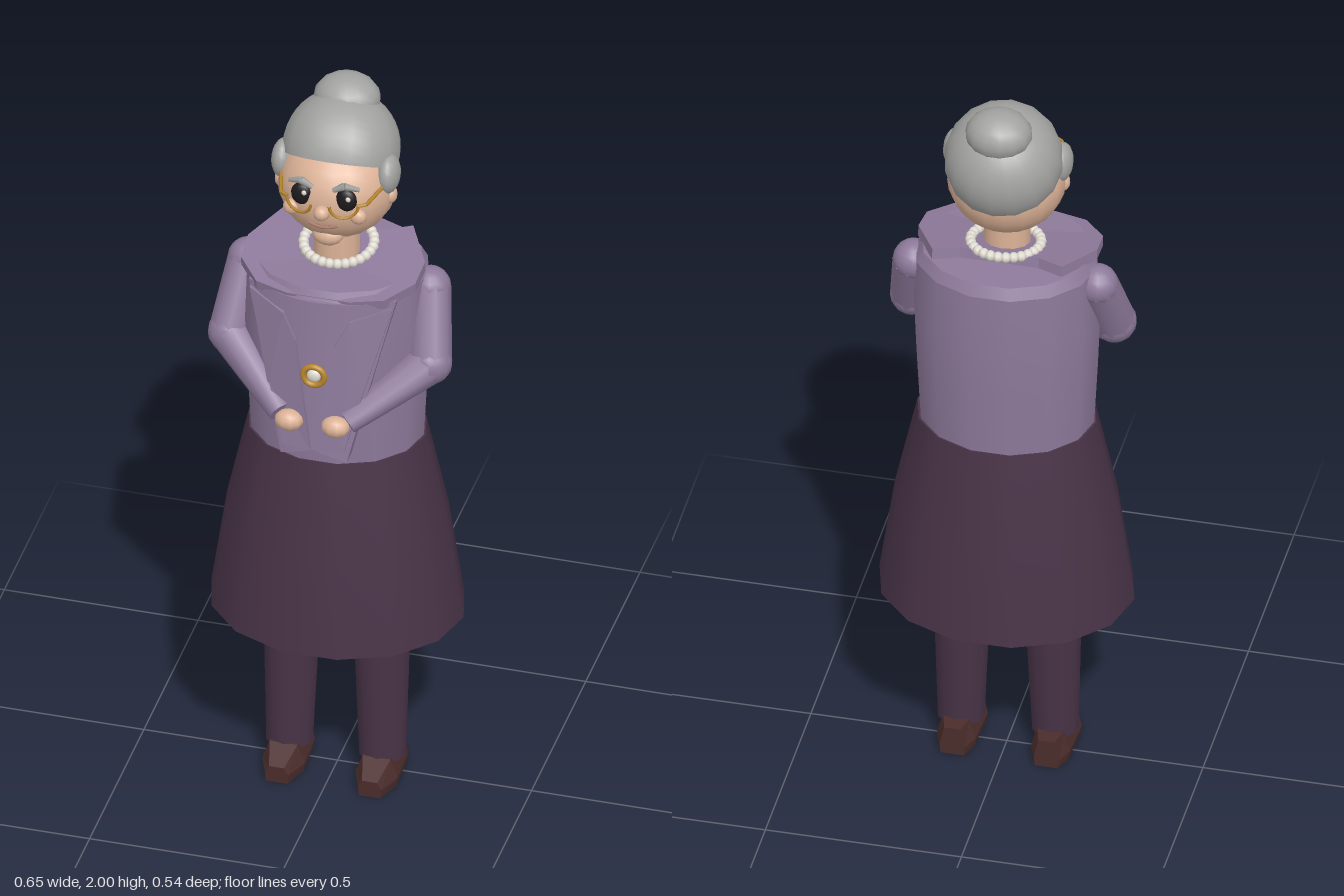
import * as THREE from 'three';

const mat = (name, color) => {
  const m = new THREE.MeshStandardMaterial({ color });
  m.name = name;
  return m;
};

export function createModel() {
  const root = new THREE.Group();
  root.name = 'elderlyWoman';
  const cardigan = mat('mauve', 0x8e7a9b), plum = mat('plum', 0x483347), leather = mat('shoe brown', 0x4a2d2b);
  const skin = mat('skin', 0xdcb297), hairGrey = mat('hair grey', 0xa3a3a2), gold = mat('gold', 0xb8862b);
  const pearl = mat('pearl', 0xdedad0), dark = mat('eye dark', 0x1e1a1e), lip = mat('lip', 0xb07f70);
  const V = (x, y, z) => new THREE.Vector3(x, y, z);

  function add(name, geo, material, x = 0, y = 0, z = 0, parent = root) {
    const m = new THREE.Mesh(geo, material);
    m.name = name;
    m.position.set(x, y, z);
    parent.add(m);
    return m;
  }
  function ball(name, material, p, r, w = 14, h = 10) {
    const m = add(name, new THREE.SphereGeometry(1, w, h), material, ...p);
    m.scale.set(...r);
    return m;
  }
  // tapered round limb between two points
  function limb(name, material, a, b, ra, rb, sides = 10) {
    const d = b.clone().sub(a);
    const m = add(name, new THREE.CylinderGeometry(rb, ra, d.length(), sides), material);
    m.position.copy(a).addScaledVector(d, 0.5);
    m.quaternion.setFromUnitVectors(V(0, 1, 0), d.normalize());
    return m;
  }
  // oval turned body part; a repeated point makes a sharp edge
  function oval(name, pts, material, depth) {
    const geo = new THREE.LatheGeometry(pts.map(p => new THREE.Vector2(...p)), 14, Math.PI / 2);
    add(name, geo, material).scale.z = depth;
  }

  // skirt and torso
  oval('skirt', [[0, 0.49], [0.325, 0.49], [0.325, 0.49], [0.285, 0.76], [0.228, 1.02], [0.228, 1.02], [0, 1.03]], plum, 0.845);
  oval('torso', [[0.222, 1.01], [0.232, 1.2], [0.238, 1.35], [0.232, 1.5], [0.232, 1.5], [0.215, 1.53], [0.215, 1.53], [0, 1.54]], cardigan, 0.85);

  // curved front panel of the cardigan
  const frontZ = (x, y) => 0.2 + (1.5 - y) * 0.075 - 1.7 * x * x;
  const panel = new THREE.BoxGeometry(1, 1, 1, 8, 4, 1);
  const pp = panel.attributes.position;
  for (let i = 0; i < pp.count; i++) {
    const t = pp.getY(i) + 0.5;
    const x = pp.getX(i) * (0.17 + 0.21 * t);
    const y = 1.055 + 0.45 * t + (1 - t) * 0.03 * (1 - Math.abs(pp.getX(i)) * 2);
    pp.setXYZ(i, x, y, frontZ(x, y) - (pp.getZ(i) > 0 ? 0 : 0.045));
  }
  panel.computeVertexNormals();
  add('cardiganFront', panel, cardigan);

  // shoulder collar, lower at the front
  const half = [[0.08, 0.18], [0.165, 0.155], [0.225, 0.08], [0.228, 0], [0.165, -0.12], [0.1, -0.09]];
  const outline = [...half, ...half.map(([x, z]) => [-x, z]).reverse()];
  const collar = new THREE.ExtrudeGeometry(
    new THREE.Shape(outline.map(([x, z]) => new THREE.Vector2(x, -z))), { depth: 0.028, bevelEnabled: false });
  collar.rotateX(-Math.PI / 2);
  add('collar', collar, cardigan, 0, 1.518, 0.005).rotation.x = 0.18;

  // brooch
  add('broochRim', new THREE.TorusGeometry(0.027, 0.008, 8, 18), gold, 0, 1.3, 0.221);
  ball('broochStone', pearl, [0, 1.3, 0.22], [0.018, 0.018, 0.01]);

  // neck and pearls
  limb('neck', skin, V(0, 1.5, 0.005), V(0, 1.66, 0.005), 0.06, 0.058, 12);
  const necklace = new THREE.Group();
  necklace.name = 'necklace';
  necklace.position.set(0, 1.553, -0.012);
  necklace.rotation.x = 0.12;
  root.add(necklace);
  const bead = new THREE.SphereGeometry(0.014, 8, 6);
  for (let i = 0; i < 28; i++) {
    const a = i / 28 * Math.PI * 2;
    add('pearl', bead, pearl, Math.sin(a) * 0.088, 0, Math.cos(a) * 0.088, necklace);
  }

  // head and face
  ball('head', skin, [0, 1.745, 0], [0.15, 0.142, 0.145], 18, 14);
  ball('chin', skin, [0, 1.64, 0.088], [0.04, 0.028, 0.03]);
  ball('nose', skin, [0, 1.742, 0.149], [0.021, 0.02, 0.021], 10, 8);
  const smile = new THREE.TubeGeometry(new THREE.QuadraticBezierCurve3(
    V(-0.036, 1.7, 0.134), V(0, 1.686, 0.142), V(0.036, 1.7, 0.134)), 8, 0.0045, 5);
  add('mouth', smile, lip);

  // hair cap and bun
  const cap = add('hair', new THREE.SphereGeometry(0.149, 16, 12, 0, Math.PI * 2, 0, 1.75), hairGrey, 0, 1.82, -0.035);
  cap.rotation.x = -0.5;
  hairGrey.side = THREE.DoubleSide;
  ball('bun', hairGrey, [0, 1.937, -0.088], [0.085, 0.063, 0.076]);

  for (const s of [1, -1]) {
    // face details
    ball('eye', dark, [s * 0.057, 1.777, 0.126], [0.028, 0.032, 0.016]);
    ball('eyeGlint', pearl, [s * 0.057 + 0.009, 1.788, 0.14], [0.007, 0.007, 0.004], 8, 6);
    ball('cheek', skin, [s * 0.086, 1.728, 0.119], [0.022, 0.021, 0.018], 10, 8);
    ball('ear', skin, [s * 0.14, 1.737, 0.015], [0.018, 0.024, 0.022], 10, 8);
    ball('sideCurl', hairGrey, [s * 0.136, 1.798, 0.015], [0.029, 0.052, 0.047]);
    limb('eyebrowInner', hairGrey, V(s * 0.027, 1.808, 0.138), V(s * 0.055, 1.824, 0.137), 0.006, 0.01, 6);
    limb('eyebrowOuter', hairGrey, V(s * 0.055, 1.824, 0.137), V(s * 0.09, 1.81, 0.122), 0.01, 0.006, 6);

    // half-moon spectacles
    const rim = add('spectacleRim', new THREE.TorusGeometry(0.036, 0.004, 6, 14, Math.PI), gold, s * 0.058, 1.775, 0.152);
    rim.rotation.set(0, s * 0.3, Math.PI);
    limb('spectacleHinge', gold, V(s * 0.09, 1.775, 0.143), V(s * 0.11, 1.775, 0.13), 0.005, 0.005, 6);
    limb('spectacleArm', gold, V(s * 0.11, 1.775, 0.13), V(s * 0.138, 1.785, 0.03), 0.005, 0.005, 6);

    // bent arm and hand
    const shoulder = V(s * 0.235, 1.46, -0.015), elbow = V(s * 0.258, 1.29, 0.07), wrist = V(s * 0.085, 1.175, 0.218);
    ball('shoulder', cardigan, shoulder.toArray(), [0.052, 0.052, 0.052]);
    limb('upperArm', cardigan, shoulder, elbow, 0.052, 0.055);
    ball('elbow', cardigan, elbow.toArray(), [0.056, 0.056, 0.056]);
    limb('forearm', cardigan, elbow, wrist, 0.055, 0.032);
    ball('hand', skin, [s * 0.06, 1.167, 0.235], [0.037, 0.028, 0.03], 10, 8);

    // cardigan lapel
    const lapelPts = [[0.185, 1.49], [0.085, 1.46], [0.05, 1.39], [0.02, 1.2], [0.005, 1.09], [0.08, 1.09], [0.12, 1.25]];
    const lapel = new THREE.ExtrudeGeometry(
      new THREE.Shape(lapelPts.map(([x, y]) => new THREE.Vector2(s * x, y))), { depth: 0.01, bevelEnabled: false });
    const lp = lapel.attributes.position;
    for (let i = 0; i < lp.count; i++) lp.setZ(i, lp.getZ(i) + frontZ(lp.getX(i), lp.getY(i)));
    lapel.computeVertexNormals();
    add('lapel', lapel, cardigan);

    // leg and shoe
    limb('leg', plum, V(s * 0.12, 0.06, 0.014), V(s * 0.115, 0.55, 0.003), 0.06, 0.077, 12);
    const shoe = new THREE.BoxGeometry(1, 1, 1, 2, 2, 3).toNonIndexed();
    const sp = shoe.attributes.position;
    const width = [0.032, 0.05, 0.055, 0.03], height = [0.078, 0.08, 0.076, 0.045], along = [-0.085, -0.04, 0.07, 0.135];
    for (let i = 0; i < sp.count; i++) {
      const k = Math.round((sp.getZ(i) + 0.5) * 3), t = sp.getY(i) + 0.5;
      const flare = t < 0.25 ? 0.92 : t < 0.75 ? 1 : 0.65;
      const y = t < 0.25 ? 0 : t < 0.75 ? 0.025 : height[k];
      sp.setXYZ(i, sp.getX(i) * 2 * width[k] * flare, y, along[k]);
    }
    shoe.computeVertexNormals();
    add('shoe', shoe, leather, s * 0.12);
  }
  return root;
}
